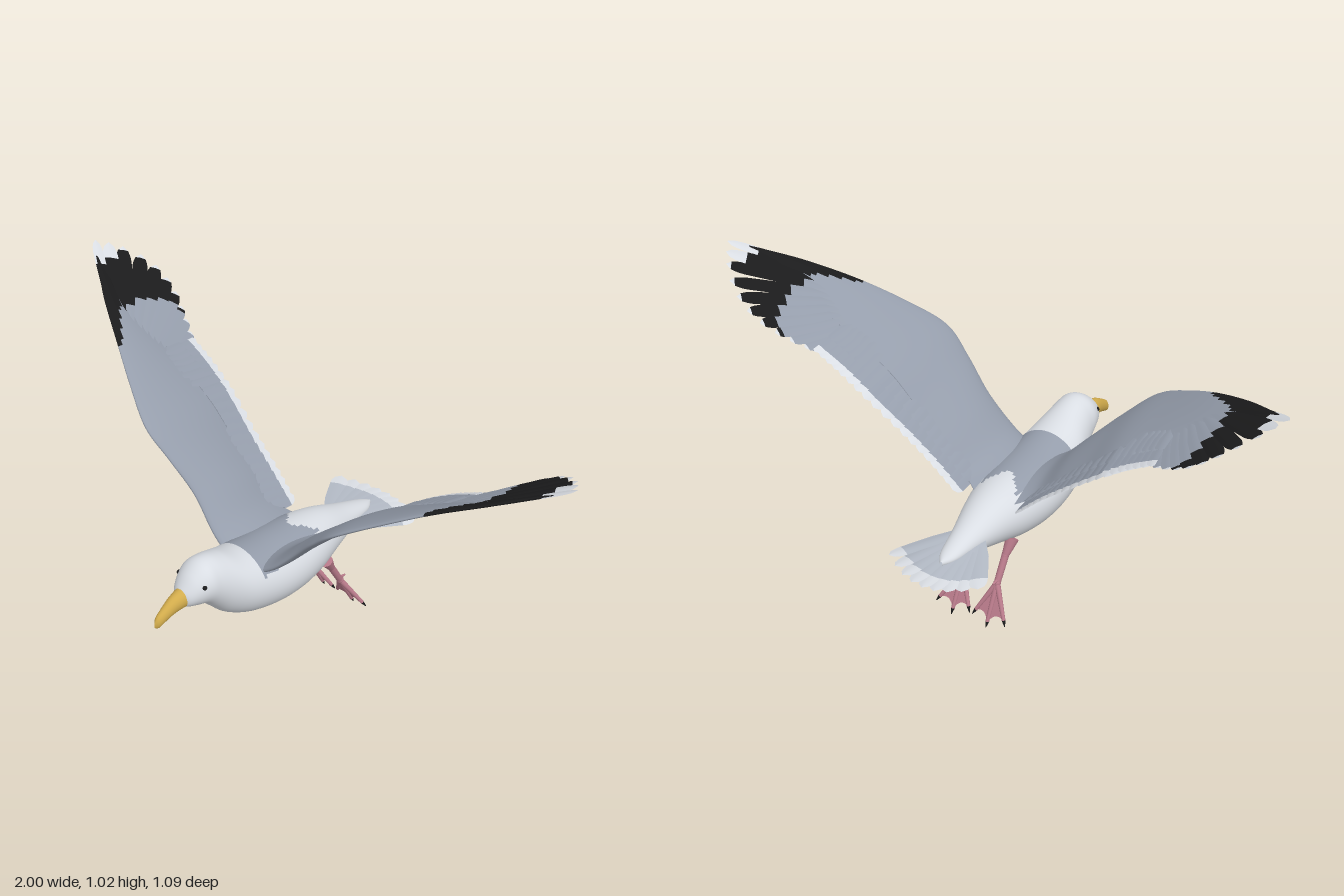
import * as THREE from 'three';

const mat = (name, color) => Object.assign(
  new THREE.MeshStandardMaterial({ color, side: THREE.DoubleSide }), { name });
const V = (p) => new THREE.Vector3(...p);
const curve = (pts) => new THREE.CatmullRomCurve3(pts.map(V));

// Smooth interpolation through rows of numbers, t from 0 to 1
function sample(rows, t) {
  const f = Math.min(Math.max(t, 0), 1) * (rows.length - 1);
  const i = Math.min(Math.floor(f), rows.length - 2), k = f - i;
  const at = (j) => rows[Math.min(Math.max(j, 0), rows.length - 1)];
  return rows[i].map((b, n) => {
    const a = at(i - 1)[n], c = at(i + 1)[n], d = at(i + 2)[n];
    return b + 0.5 * k * (c - a + k * (2 * a - 5 * b + 4 * c - d + k * (3 * (b - c) + d - a)));
  });
}

// Surface from fn(u, v); side -1 mirrors it in x; pick(u, v, point) gives each cell's material index
function surface(name, mats, nu, nv, fn, { closed = false, side = 1, pick = () => 0 } = {}) {
  const pos = [], cols = closed ? nv : nv + 1, faces = mats.map(() => []);
  for (let i = 0; i <= nu; i++) for (let j = 0; j < cols; j++) {
    const p = fn(i / nu, j / nv);
    pos.push(p[0] * side, p[1], p[2]);
  }
  for (let i = 0; i < nu; i++) for (let j = 0; j < nv; j++) {
    const a = i * cols + j, d = i * cols + (j + 1) % cols, b = a + cols, c = d + cols;
    const u = (i + 0.5) / nu, v = (j + 0.5) / nv;
    faces[pick(u, v, fn(u, v))].push(...(side > 0 ? [a, b, d, b, c, d] : [a, d, b, b, d, c]));
  }
  const g = new THREE.BufferGeometry();
  g.setAttribute('position', new THREE.Float32BufferAttribute(pos, 3));
  g.setIndex(faces.flat());
  let start = 0;
  faces.forEach((f, m) => { if (f.length) g.addGroup(start, f.length, m); start += f.length; });
  g.computeVertexNormals();
  const mesh = new THREE.Mesh(g, mats);
  mesh.name = name;
  return mesh;
}

// Lofted ellipses from rows of [z, top, bottom, halfWidth]
const loft = (name, mats, rows, nu, nv, pick) => surface(name, mats, nu, nv, (u, v) => {
  const [z, top, bottom, w] = sample(rows, u), a = v * Math.PI * 2;
  return [w * Math.cos(a), (top + bottom) / 2 + (top - bottom) / 2 * Math.sin(a), z];
}, { closed: true, pick });

// Thin rounded blade with a raised shaft, lying square to normal n
function feather(name, mats, root, tip, n, width, side, pick) {
  const dir = tip.clone().sub(root).normalize();
  const across = n.clone().cross(dir).normalize();
  const up = dir.clone().cross(across);
  return surface(name, mats, 20, 4, (u, v) => {
    const round = u > 0.8 ? Math.sqrt(Math.max(0, 1 - ((u - 0.8) / 0.2) ** 2)) : 1;
    const s = (v * 2 - 1) * width * (0.5 + 0.5 * Math.min(1, u * 2.5)) * round;
    return root.clone().lerp(tip, u).addScaledVector(across, s)
      .addScaledVector(up, s * 0.15 - Math.abs(s) * 0.12).toArray();
  }, { side, pick });
}

// Tapered rod between two points
function rod(name, m, a, b, r1, r2) {
  const d = b.clone().sub(a);
  const mesh = new THREE.Mesh(new THREE.CylinderGeometry(r2, r1, d.length(), 12), m);
  mesh.position.copy(a).addScaledVector(d, 0.5);
  mesh.quaternion.setFromUnitVectors(new THREE.Vector3(0, 1, 0), d.normalize());
  mesh.name = name;
  return mesh;
}

const BODY = [[.445, .435, .405, .008], [.43, .458, .388, .035], [.4, .492, .378, .056], [.36, .517, .365, .072],
  [.32, .52, .325, .078], [.27, .505, .275, .092], [.2, .475, .24, .115], [.1, .452, .219, .128], [0, .44, .215, .128],
  [-.1, .43, .225, .113], [-.2, .41, .25, .085], [-.3, .372, .275, .055], [-.4, .335, .295, .03], [-.44, .318, .304, .005]];
const BEAK = [[.42, .456, .388, .032], [.47, .443, .384, .023], [.51, .42, .372, .017], [.535, .403, .362, .012], [.547, .385, .368, .002]];
// Leading edge xyz, then rear edge xyz of the wing's fleshy part
const WING = [[.05, .39, .17, .05, .38, -.16], [.13, .45, .165, .13, .42, -.12], [.22, .55, .156, .21, .505, -.11],
  [.31, .65, .175, .305, .59, -.11], [.4, .735, .187, .405, .685, -.11], [.52, .81, .135, .52, .757, -.11],
  [.66, .885, .06, .64, .825, -.11], [.8, .945, -.02, .75, .885, -.11], [.9, .985, -.09, .84, .935, -.118],
  [.95, 1.003, -.125, .93, .985, -.135]];

function wing(side, { grey, white, black }) {
  const g = new THREE.Group();
  g.name = side > 0 ? 'leftWing' : 'rightWing';
  const normal = (x) => V([-(x < 0.42 ? 1 : 0.55), 1, -0.2]).normalize();

  // Cambered arm with a black leading strip near the tip
  g.add(surface('wingArm', [grey, black], 72, 32, (u, v) => {
    const r = sample(WING, u), p = sample(WING, u - 0.02), q = sample(WING, u + 0.02);
    const n = V([p[1] - q[1], q[0] - p[0], 0]).normalize();
    const c = (1 - Math.cos(v * Math.PI * 2)) / 2, s = Math.sign(Math.sin(v * Math.PI * 2));
    const h = 0.056 * (1 - u) * c * (1 - c)
      + s * (0.018 * (1 - u) + 0.003) * 2.6 * Math.sqrt(c) * (1 - c);
    return V(r.slice(0, 3)).lerp(V(r.slice(3)), c).addScaledVector(n, h).toArray();
  }, { closed: true, side, pick: (u, v, p) => (p[0] > 0.64 && p[2] > 0.05 - 0.857 * (p[0] - 0.64) ? 1 : 0) }));

  // Inner flight feathers with white ends, and coverts over their roots
  const roots = curve([[.12, .43, -.02], [.22, .525, -.02], [.31, .615, -.02], [.41, .7, -.02], [.51, .775, -.03], [.58, .81, -.04]]);
  const tips = curve([[.12, .405, -.2], [.2, .48, -.207], [.3, .56, -.217], [.42, .655, -.237], [.52, .725, -.242], [.61, .775, -.243]]);
  for (let i = 0; i < 19; i++) {
    const a = roots.getPoint(i / 18), b = tips.getPoint(i / 18), n = normal(a.x);
    g.add(feather('innerFlightFeather', [grey, white], a, b, n, 0.027, side, (u) => (u > 0.85 ? 1 : 0)));
    for (const s of [1, -1]) {
      const lift = n.clone().multiplyScalar(s * 0.005);
      g.add(feather('covert', [grey], a.clone().lerp(b, 0.2).add(lift), a.clone().lerp(b, 0.66).add(lift), n, 0.022, side, () => 0));
    }
  }

  // Outer flight feathers: grey base, black band, white end
  const handRoots = curve([[.72, .907, .005], [.7, .89, -.035], [.67, .865, -.06], [.635, .84, -.07], [.6, .815, -.07], [.57, .795, -.07]]);
  const handTips = curve([[1, 1.025, -.17], [.955, .995, -.235], [.875, .94, -.3], [.795, .88, -.315], [.715, .825, -.288], [.64, .785, -.252]]);
  for (let i = 0; i < 10; i++) {
    const t = i / 9, whiteFrom = [0.68, 0.8][i] ?? 0.93, blackFrom = i > 7 ? 1 : 0.13 * i;
    g.add(feather('outerFlightFeather', [grey, black, white], handRoots.getPoint(t), handTips.getPoint(t),
      normal(0.7), i === 0 ? 0.018 : 0.026, side, (u) => (u > whiteFrom ? 2 : u > blackFrom ? 1 : 0)));
  }
  return g;
}

function leg(side, { pink, black }) {
  const g = new THREE.Group();
  g.name = side > 0 ? 'leftLeg' : 'rightLeg';
  const P = (x, y, z) => new THREE.Vector3(x * side, y, z);
  const hip = P(.072, .265, -.15), knee = P(.066, .215, -.182), ankle = P(.065, .135, -.228);
  g.add(rod('thigh', pink, hip, knee, 0.022, 0.012), rod('shank', pink, knee, ankle, 0.012, 0.011));
  for (const p of [knee, ankle]) {
    const joint = new THREE.Mesh(new THREE.SphereGeometry(0.0125, 12, 8), pink);
    joint.position.copy(p);
    joint.name = 'joint';
    g.add(joint);
  }
  g.add(rod('hindToe', pink, P(.065, .147, -.222), P(.065, .143, -.252), 0.006, 0.003));
  // Three toes with claws, joined by a scalloped web
  const ends = [P(.014, .04, -.275), P(.066, .02, -.288), P(.122, .04, -.278)];
  for (const e of ends) {
    g.add(rod('toe', pink, ankle, e, 0.01, 0.006));
    const claw = e.clone().add(e.clone().sub(ankle).normalize().multiplyScalar(0.02));
    g.add(rod('claw', black, e, claw, 0.006, 0.001));
  }
  g.add(surface('web', [pink], 8, 16, (u, v) => {
    const i = v < 0.5 ? 0 : 1, k = v * 2 - i;
    const edge = ends[i].clone().lerp(ends[i + 1], k);
    return ankle.clone().lerp(edge, u * (1 - 0.5 * k * (1 - k))).toArray();
  }));
  return g;
}

export function createModel() {
  const m = {
    white: mat('white plumage', 0xd9dde3), grey: mat('grey plumage', 0x959dab),
    pale: mat('pale grey tail', 0xb3bac5), black: mat('black', 0x1b1b1c),
    yellow: mat('yellow beak', 0xd2ac4c), pink: mat('pink legs', 0xb87a8a),
  };
  const bird = new THREE.Group();
  bird.name = 'gull';

  // Body with a grey mantle between the wings
  bird.add(loft('body', [m.white, m.grey], BODY, 130, 56,
    (u, v, [x, y, z]) => (y > 0.405 && z < 0.17 && z > -0.04 - 1.2 * Math.abs(x) ? 1 : 0)));
  bird.add(loft('beak', [m.yellow], BEAK, 24, 20, () => 0));

  // Fanned tail with white ends
  for (let i = -4; i <= 4; i++) {
    const a = i / 4, q = a * a;
    bird.add(feather('tailFeather', [m.pale, m.white],
      new THREE.Vector3(0.03 * a, 0.338 - 0.002 * Math.abs(i), -0.27),
      new THREE.Vector3(0.165 * a, 0.286 + 0.022 * q, -0.545 + 0.06 * q),
      new THREE.Vector3(0, 1, 0), 0.03, 1, (u) => (u > 0.78 ? 1 : 0)));
  }

  for (const side of [1, -1]) {
    bird.add(wing(side, m), leg(side, m));
    const eye = new THREE.Mesh(new THREE.SphereGeometry(0.008, 12, 8), m.black);
    eye.position.set(0.056 * side, 0.462, 0.385);
    eye.name = 'eye';
    bird.add(eye);
  }
  return bird;
}
